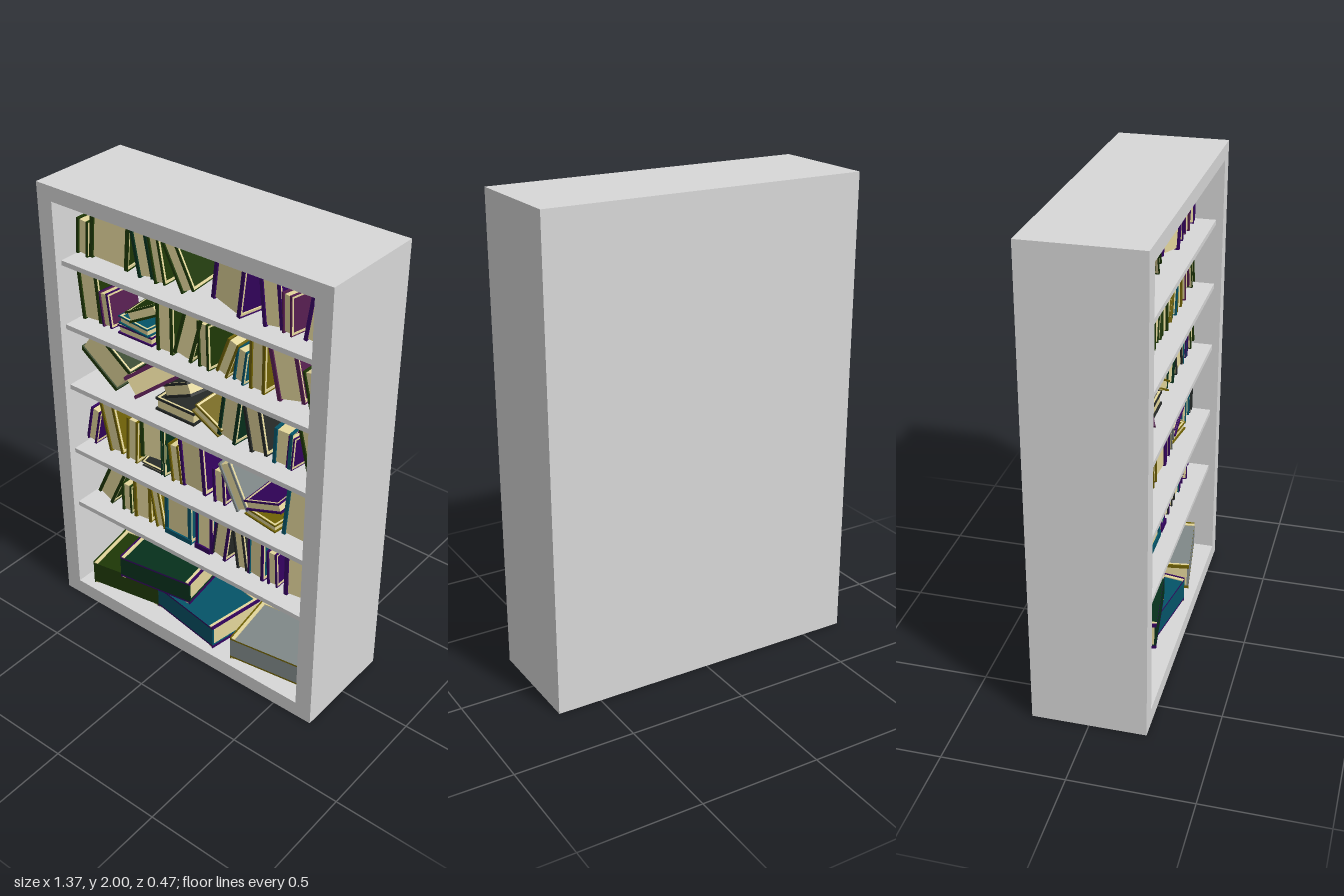
import * as THREE from 'three';

const mat = (name, color) => Object.assign(new THREE.MeshStandardMaterial({ color }), { name });
const M = {
  cabinet: mat('cabinet grey', 0xd8d8d8),
  pages: mat('page cream', 0xe4d79c),
  green: mat('moss green', 0x1e3806),
  forest: mat('forest green', 0x06301c),
  teal: mat('teal', 0x045468),
  purple: mat('purple', 0x34025f),
  plum: mat('plum', 0x561e50),
  olive: mat('olive yellow', 0x706204),
  slate: mat('slate grey', 0x808888),
  coal: mat('charcoal', 0x262a28),
};
const rad = THREE.MathUtils.degToRad;

function box(name, w, h, d, x, y, z, material) {
  const m = new THREE.Mesh(new THREE.BoxGeometry(w, h, d), material);
  m.name = name;
  m.position.set(x, y, z);
  return m;
}

// Hardback: thickness on x, height on y, spine at -z, fore-edge at +z
function makeBook(w, h, d, cover, edge = cover) {
  const g = new THREE.Group();
  const flare = Math.min(0.009, w * 0.06), t = Math.min(0.008, w * 0.11), lip = 0.007;
  const c = M[cover], e = M[edge], body = w - 2 * flare;

  // Raised U-shaped border on a board, open towards the spine
  const border = (name, s, inset, width, rise, material) => {
    const x = s * (body + rise) / 2, len = d - inset;
    for (const k of [-1, 1]) {
      g.add(box(name, rise, width, len, x, k * (h / 2 - inset - width / 2), -inset / 2, material));
    }
    g.add(box(name, rise, h - 2 * (inset + width), width, x, 0, d / 2 - inset - width / 2, material));
  };
  for (const s of [-1, 1]) {
    g.add(box('coverBoard', t, h, d, s * (body - t) / 2, 0, 0, [c, c, e, e, e, e]));
    border('coverRim', s, 0, d * 0.022, flare, e);
    border('pageBorder', s, d * 0.022, d * 0.055, flare * 0.6, M.pages);
  }
  g.add(box('spine', body - 2 * t, h, t, 0, 0, -(d - t) / 2, c));
  g.add(box('pageBlock', body - 2 * t, h - 2 * lip, d - t - lip, 0, 0, (t - lip) / 2, M.pages));
  g.name = 'book';
  g.rotation.order = 'YXZ';
  return g;
}

// Row of books: [centre x, thickness, height, tilt, cover/edge, yaw, lift, pitch]; positive tilt leans left
function bookRow(name, floor, list) {
  const row = new THREE.Group();
  row.name = name;
  for (const [x, w, h, tilt, colors, yaw = 0, lift = 0, pitch = 0] of list) {
    const d = 0.1 + 0.4 * h, a = Math.abs(rad(tilt));
    const b = makeBook(w, h, d, ...colors.split('/'));
    b.rotation.set(rad(pitch), rad(yaw), rad(tilt));
    b.position.set(x, floor + lift + (h * Math.cos(a) + w * Math.sin(a)) / 2, 0.125 - d / 2);
    row.add(b);
  }
  return row;
}

function rect(path, x0, y0, x1, y1) {
  path.moveTo(x0, y0);
  path.lineTo(x1, y0);
  path.lineTo(x1, y1);
  path.lineTo(x0, y1);
  path.closePath();
  return path;
}

export function createModel() {
  const model = new THREE.Group();
  model.name = 'bookcase';

  // Outer case, back panel and shelves
  const outline = rect(new THREE.Shape(), -0.685, 0, 0.685, 2);
  outline.holes.push(rect(new THREE.Path(), -0.61, 0.07, 0.61, 1.937));
  const frame = new THREE.Mesh(
    new THREE.ExtrudeGeometry(outline, { depth: 0.415, bevelEnabled: false }), M.cabinet);
  frame.name = 'caseFrame';
  frame.position.z = -0.18;
  model.add(frame, box('backPanel', 1.37, 2, 0.055, 0, 1, -0.2075, M.cabinet));
  for (const top of [0.505, 0.79, 1.11, 1.395, 1.68]) {
    model.add(box('shelf', 1.22, 0.021, 0.385, 0, top - 0.0105, 0.0125, M.cabinet));
  }

  model.add(bookRow('topRow', 1.68, [
    [-0.57, 0.06, 0.155, -5, 'green'],
    [-0.435, 0.185, 0.215, -5, 'green', 6],
    [-0.27, 0.075, 0.235, 10, 'forest', 4],
    [-0.19, 0.055, 0.22, 10, 'green'],
    [-0.09, 0.065, 0.215, 25, 'green', 5],
    [0.175, 0.165, 0.22, -8, 'purple', -12],
    [0.34, 0.085, 0.25, 6, 'purple', 5],
    [0.435, 0.05, 0.16, 2, 'plum', -11],
    [0.545, 0.09, 0.18, -8, 'purple', 8],
  ]));
  model.add(bookRow('secondRow', 1.395, [
    [-0.55, 0.105, 0.235, 5, 'green'],
    [-0.46, 0.055, 0.15, 8, 'plum/purple', -5],
    [-0.31, 0.04, 0.18, 90, 'purple'],
    [-0.31, 0.035, 0.17, 90, 'teal', -6, 0.04],
    [-0.28, 0.05, 0.155, -62, 'green', 5, 0.07],
    [-0.16, 0.08, 0.235, 0, 'green', 3],
    [-0.04, 0.09, 0.25, -15, 'green', 4],
    [0.05, 0.06, 0.195, 2, 'green', -9],
    [0.155, 0.055, 0.17, -20, 'olive'],
    [0.225, 0.055, 0.15, -8, 'teal', -7],
    [0.3, 0.075, 0.25, 0, 'olive', -3],
    [0.42, 0.12, 0.235, 12, 'plum', 5],
    [0.545, 0.055, 0.17, 14, 'green'],
  ]));
  model.add(bookRow('thirdRow', 1.11, [
    [-0.48, 0.15, 0.235, 54, 'green'],
    [-0.245, 0.1, 0.265, -55, 'plum', 18, 0.015, -12],
    [-0.11, 0.06, 0.2, 90, 'coal'],
    [-0.085, 0.06, 0.19, -62, 'coal', -12, 0.06],
    [0.055, 0.045, 0.15, 62, 'olive'],
    [0.175, 0.095, 0.24, -8, 'forest', -5],
    [0.295, 0.09, 0.24, 12, 'coal', -5],
    [0.415, 0.08, 0.16, -2, 'teal', 4],
    [0.468, 0.03, 0.15, -4, 'purple', -8],
    [0.545, 0.07, 0.25, 14, 'green'],
  ]));
  model.add(bookRow('fourthRow', 0.79, [
    [-0.57, 0.055, 0.175, -12, 'purple'],
    [-0.46, 0.085, 0.24, 13, 'olive', -4],
    [-0.35, 0.06, 0.21, -3, 'olive'],
    [-0.24, 0.026, 0.12, 90, 'coal', 0, 0.02, 17],
    [-0.245, 0.125, 0.175, 0, 'green', 8, 0.06],
    [-0.168, 0.02, 0.235, 0, 'forest', -9],
    [-0.115, 0.055, 0.18, 6, 'olive'],
    [-0.015, 0.14, 0.245, 5, 'purple', -6],
    [0.115, 0.06, 0.16, 3, 'purple'],
    [0.18, 0.06, 0.22, 24, 'slate', 5],
    [0.335, 0.035, 0.17, 90, 'olive', -8],
    [0.335, 0.045, 0.18, -70, 'purple', 0, 0.035],
    [0.495, 0.115, 0.23, -5, 'teal', 4],
    [0.58, 0.045, 0.18, -4, 'coal'],
  ]));
  model.add(bookRow('fifthRow', 0.505, [
    [-0.475, 0.09, 0.235, -25, 'green'],
    [-0.395, 0.055, 0.145, 0, 'green'],
    [-0.315, 0.09, 0.245, 0, 'olive', 6],
    [-0.22, 0.05, 0.2, 10, 'olive'],
    [-0.1, 0.15, 0.255, 0, 'teal', -3],
    [0.03, 0.085, 0.245, 0, 'teal/purple', 4],
    [0.135, 0.08, 0.245, -8, 'coal/purple', -4],
    [0.225, 0.055, 0.2, 8, 'coal'],
    [0.315, 0.085, 0.26, 0, 'teal/purple', -5],
    [0.39, 0.05, 0.165, 3, 'purple'],
    [0.515, 0.145, 0.245, 0, 'purple', 9],
  ]));
  // Cover flaps along the foot of two books on the fifth row
  model.add(
    box('footFlap', 0.145, 0.024, 0.008, -0.1, 0.518, 0.128, M.teal),
    box('footFlap', 0.08, 0.024, 0.008, 0.032, 0.518, 0.128, M.purple));

  // Large volumes lying flat with spines outward: [x, base y, z, length, yaw, cover, edge]
  const bottom = new THREE.Group();
  bottom.name = 'largeBooks';
  for (const [x, y, z, len, yaw, cover, edge] of [
    [-0.407, 0.07, 0.032, 0.34, 10, 'green', 'green'],
    [-0.012, 0.07, 0.032, 0.365, -9.5, 'teal', 'purple'],
    [0.403, 0.07, 0.035, 0.37, 8, 'slate', 'olive'],
    [-0.222, 0.19, 0.035, 0.36, 8, 'forest', 'purple'],
  ]) {
    const b = makeBook(0.12, len, 0.28, cover, edge);
    b.rotation.set(0, rad(180 + yaw), rad(90));
    b.position.set(x, y + 0.06, z);
    bottom.add(b);
  }
  model.add(bottom);
  return model;
}
